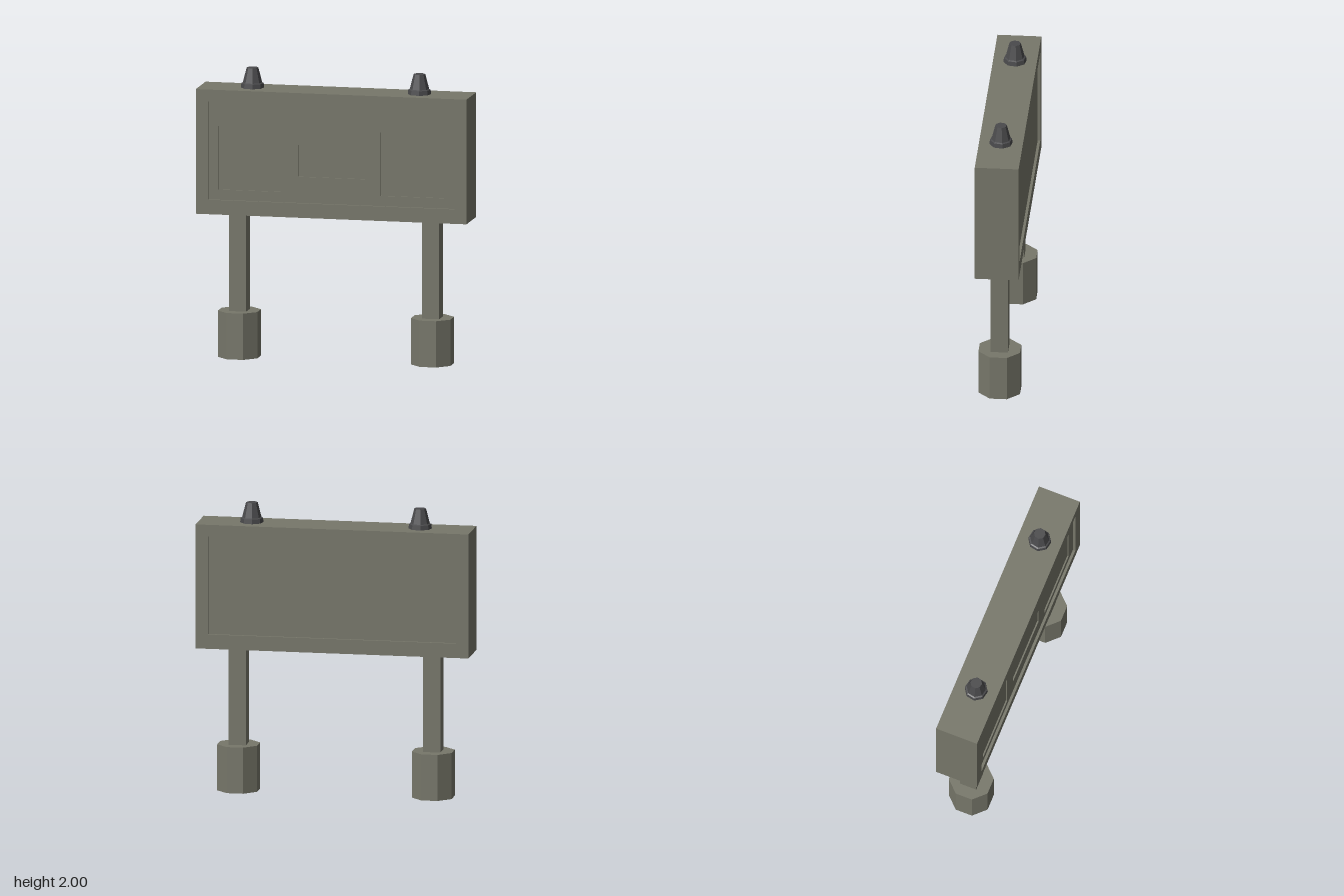
import * as THREE from 'three';

const body = new THREE.MeshStandardMaterial({ color: 0x77776a });
body.name = 'olive grey';
const dark = new THREE.MeshStandardMaterial({ color: 0x4a4a4c, flatShading: true });
dark.name = 'dark grey';

// Traces a rectangle onto a Shape or Path
function rect(path, x0, y0, x1, y1) {
  path.moveTo(x0, y0);
  path.lineTo(x1, y0);
  path.lineTo(x1, y1);
  path.lineTo(x0, y1);
  path.closePath();
  return path;
}

// Flat slab from z0 to z1 with rectangular openings
function slab(outer, holes, z0, z1) {
  const shape = rect(new THREE.Shape(), ...outer);
  for (const h of holes) shape.holes.push(rect(new THREE.Path(), ...h));
  const geo = new THREE.ExtrudeGeometry(shape, { depth: z1 - z0, bevelEnabled: false });
  return geo.translate(0, 0, z0);
}

export function createModel() {
  const model = new THREE.Group();
  model.name = 'signBoard';
  const add = (name, geo, mat, x = 0, y = 0, z = 0) => {
    const mesh = new THREE.Mesh(geo, mat);
    mesh.name = name;
    mesh.position.set(x, y, z);
    model.add(mesh);
    return mesh;
  };

  // Board: thick frame around a recessed panel
  const opening = [-0.86, 1.10, 0.86, 1.78];
  add('boardFrame', slab([-0.945, 1.0, 0.945, 1.862], [opening], -0.15, 0.15), body);

  // Back panel, plus a front layer with three shallow sunken windows
  add('backPanel', slab(opening, [], -0.132, 0.122), body);
  const windows = [
    [-0.79, 1.17, -0.345, 1.61],
    [-0.235, 1.28, 0.232, 1.5],
    [0.342, 1.17, 0.785, 1.61],
  ];
  add('frontPanel', slab(opening, windows, 0.122, 0.132), body);

  // Octagonal lamp profile: low collar, tapered cap
  const lampProfile = [[0, 1.86], [0.08, 1.86], [0.076, 1.893], [0.066, 1.898], [0.04, 2.0], [0, 2.0]]
    .map(([r, y]) => new THREE.Vector2(r, y));

  for (const side of [-1, 1]) {
    const label = side > 0 ? 'left' : 'right';
    // Square post
    add(label + 'Post', new THREE.BoxGeometry(0.12, 0.72, 0.12), body, side * 0.674, 0.66);
    // Octagonal foot with a flat side to the front
    const foot = new THREE.CylinderGeometry(0.157, 0.157, 0.32, 8).toNonIndexed();
    foot.rotateY(Math.PI / 8).scale(0.95, 1, 0.98);
    foot.computeVertexNormals();
    add(label + 'Foot', foot, body, side * 0.674, 0.16);
    // Lamp on the top edge
    const lamp = add(label + 'Lamp', new THREE.LatheGeometry(lampProfile, 8), dark, side * 0.583);
    lamp.rotation.y = 0.2;
  }
  return model;
}
